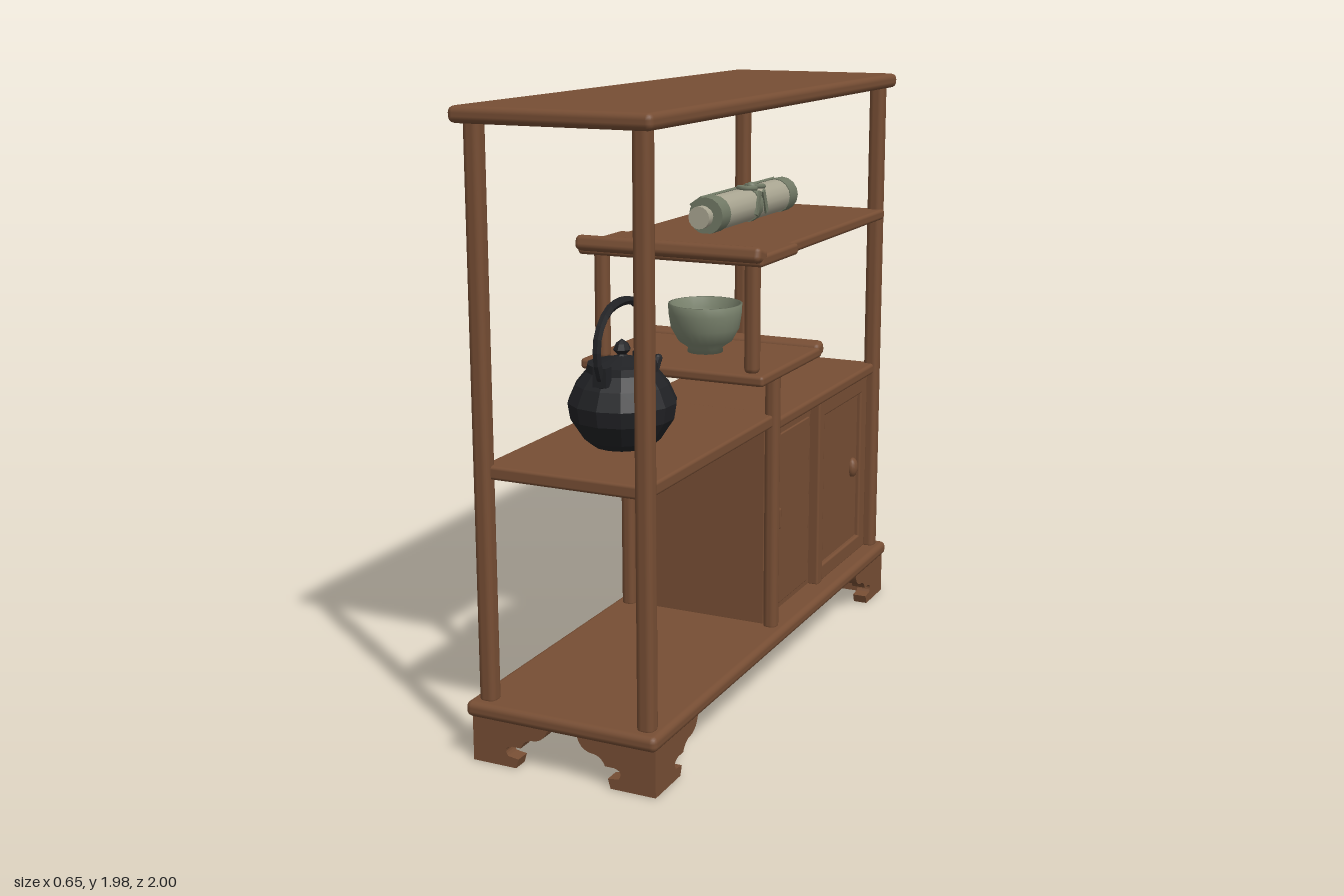
import * as THREE from 'three';
import { RoundedBoxGeometry } from 'three/addons/geometries/RoundedBoxGeometry.js';

const mat = (name, color, extra = {}) => {
  const m = new THREE.MeshStandardMaterial({ color, ...extra });
  m.name = name;
  return m;
};

export function createModel() {
  const wood = mat('brown wood', 0x774e34);
  const iron = mat('black iron', 0x212225, { flatShading: true });
  const celadon = mat('grey green glaze', 0x7d8670);
  const paper = mat('pale paper', 0xaaa692);
  const cloth = mat('green cloth', 0x727a66);
  const root = new THREE.Group();
  root.name = 'displayShelf';

  const add = (name, geo, material, x = 0, y = 0, z = 0, parent = root) => {
    const m = new THREE.Mesh(geo, material);
    m.name = name;
    m.position.set(x, y, z);
    parent.add(m);
    return m;
  };
  // Softly rounded wooden box given by its limits on each axis
  const board = (name, [x0, x1], [y0, y1], [z0, z1], r = 0.015) =>
    add(name, new RoundedBoxGeometry(x1 - x0, y1 - y0, z1 - z0, 2, r), wood,
      (x0 + x1) / 2, (y0 + y1) / 2, (z0 + z1) / 2);
  const post = (name, x, z, y0, y1, w = 0.055) =>
    board(name, [x - w / 2, x + w / 2], [y0, y1], [z - w / 2, z + w / 2], 0.02);

  // Main boards and corner posts
  board('topBoard', [-0.325, 0.32], [1.93, 1.98], [-1, 1], 0.02);
  board('baseBoard', [-0.325, 0.32], [0.145, 0.195], [-1, 1], 0.02);
  for (const x of [-0.268, 0.266]) {
    for (const z of [-0.943, 0.943]) post('cornerPost', x, z, 0.18, 1.95);
    post('middlePost', x, 0.02, 0.18, 1.09, 0.048);
    post('hangingPost', x, 0.193, 1.1, 1.47, 0.048);
  }

  // Staggered shelves with raised lips
  board('kettleShelf', [-0.275, 0.275], [0.888, 0.93], [0, 0.95], 0.01);
  board('upperShelf', [-0.3, 0.3], [1.452, 1.49], [-0.95, 0.25], 0.012);
  board('upperShelfEnd', [-0.328, 0.323], [1.452, 1.49], [-0.05, 0.25], 0.012);
  const upperLip = board('upperShelfLip', [-0.328, 0.323], [1.462, 1.512], [0.2, 0.275], 0.018);
  upperLip.rotation.x = -0.3;
  board('bowlShelf', [-0.328, 0.325], [1.07, 1.106], [-0.27, 0.243], 0.012);
  const bowlLip = board('bowlShelfLip', [-0.328, 0.325], [1.072, 1.122], [-0.292, -0.235], 0.018);
  bowlLip.rotation.x = 0.25;

  // Cabinet carcass
  board('cabinetTop', [-0.28, 0.28], [0.87, 0.91], [-0.95, 0.03], 0.012);
  board('cabinetSide', [-0.25, 0.24], [0.19, 0.88], [-0.015, 0.02], 0.006);
  board('cabinetEnd', [-0.25, 0.25], [0.19, 0.88], [-0.945, -0.915], 0.006);
  board('cabinetBack', [-0.262, -0.235], [0.19, 0.88], [-0.93, 0.01], 0.006);

  // Sliding doors: recessed one and framed one
  board('recessedDoor', [0.2, 0.225], [0.19, 0.88], [-0.48, 0.01], 0.005);
  board('recessedDoorPanel', [0.22, 0.231], [0.215, 0.82], [-0.4, -0.025], 0.004);
  board('framedDoorPanel', [0.215, 0.24], [0.23, 0.83], [-0.88, -0.45], 0.005);
  board('doorStile', [0.2, 0.262], [0.19, 0.88], [-0.47, -0.42], 0.008);
  board('doorStile', [0.2, 0.256], [0.19, 0.88], [-0.925, -0.86], 0.008);
  board('doorRail', [0.2, 0.256], [0.805, 0.88], [-0.9, -0.44], 0.008);
  board('doorRail', [0.2, 0.256], [0.19, 0.25], [-0.9, -0.44], 0.008);
  board('recessedDoorHandle', [0.225, 0.245], [0.492, 0.568], [-0.12, -0.08], 0.008);
  const knob = add('framedDoorHandle', new THREE.SphereGeometry(0.034, 12, 8), wood, 0.243, 0.53, -0.812);
  knob.scale.set(0.6, 1.1, 0.8);

  // Scrolled bracket feet: one profile along each edge of every corner
  const footShape = (s, k) => {
    const p = (u) => -s * u * k;
    const f = new THREE.Shape();
    f.moveTo(0, 0);
    f.lineTo(p(0.165), 0);
    f.lineTo(p(0.175), 0.03);
    f.lineTo(p(0.135), 0.035);
    f.quadraticCurveTo(p(0.115), 0.06, p(0.15), 0.068);
    f.lineTo(p(0.185), 0.068);
    f.quadraticCurveTo(p(0.2), 0.1, p(0.235), 0.1);
    f.quadraticCurveTo(p(0.28), 0.105, p(0.29), 0.15);
    f.lineTo(0, 0.15);
    f.closePath();
    return f;
  };
  const footOptions = { depth: 0.05, bevelEnabled: false, curveSegments: 6 };
  for (const sx of [-1, 1]) for (const sz of [-1, 1]) {
    add('footFront', new THREE.ExtrudeGeometry(footShape(sx, 0.9), footOptions), wood,
      sx * 0.31, 0, sz > 0 ? 0.93 : -0.98);
    const side = new THREE.ExtrudeGeometry(footShape(sz, 1), footOptions).rotateY(-Math.PI / 2);
    add('footSide', side, wood, sx > 0 ? 0.31 : -0.26, 0, sz * 0.98);
  }

  const lathe = (pts, n) => new THREE.LatheGeometry(pts.map(([r, y]) => new THREE.Vector2(r, y)), n);
  const curve = (pts) => new THREE.CatmullRomCurve3(pts.map(([y, z]) => new THREE.Vector3(0, y, z)));

  // Iron kettle with arched handle and spout
  const kettle = new THREE.Group();
  kettle.name = 'kettle';
  kettle.position.set(-0.006, 0.928, 0.56);
  root.add(kettle);
  add('kettleBody', lathe([[0, 0], [0.09, 0], [0.12, 0.025], [0.162, 0.09], [0.17, 0.14],
    [0.145, 0.195], [0.112, 0.235], [0.108, 0.258], [0.085, 0.262], [0, 0.285]], 14), iron, 0, 0, 0, kettle);
  add('lidKnob', lathe([[0, 0.26], [0.022, 0.27], [0.014, 0.285], [0.028, 0.3], [0.02, 0.318], [0, 0.332]], 8),
    iron, 0, 0, 0, kettle);
  add('kettleHandle', new THREE.TubeGeometry(curve([[0.21, 0.125], [0.29, 0.158], [0.37, 0.15], [0.43, 0.09],
    [0.447, 0], [0.43, -0.09], [0.37, -0.15], [0.29, -0.16], [0.21, -0.125]]), 18, 0.014, 6), iron, 0, 0, 0, kettle);
  for (const s of [-1, 1]) {
    add('handleLug', new THREE.BoxGeometry(0.045, 0.06, 0.035), iron, 0, 0.24, s * 0.13, kettle);
  }
  // Spout tapers toward the tip
  const spout = new THREE.TubeGeometry(curve([[0.12, -0.12], [0.145, -0.18], [0.195, -0.212], [0.222, -0.245]]), 6, 0.03, 8);
  const sp = spout.attributes.position;
  const spoutPath = spout.parameters.path;
  for (let i = 0; i < sp.count; i++) {
    const t = Math.floor(i / 9) / 6;
    const c = spoutPath.getPointAt(t);
    const v = new THREE.Vector3().fromBufferAttribute(sp, i).sub(c).multiplyScalar(1.4 - 0.95 * t).add(c);
    sp.setXYZ(i, v.x, v.y, v.z);
  }
  add('kettleSpout', spout, iron, 0, 0, 0, kettle);
  add('spoutTip', new THREE.SphereGeometry(0.015, 8, 6), iron, 0, 0.222, -0.245, kettle);

  // Tea bowl with inner wall
  add('teaBowl', lathe([[0, 0], [0.06, 0], [0.058, 0.018], [0.09, 0.04], [0.115, 0.085], [0.123, 0.135],
    [0.124, 0.166], [0.116, 0.166], [0.112, 0.13], [0.1, 0.08], [0.06, 0.045], [0, 0.035]], 24),
    celadon, -0.003, 1.104, -0.033);

  // Rolled scroll with end bands, core and tied ribbon
  const scroll = new THREE.Group();
  scroll.name = 'scroll';
  scroll.position.set(-0.035, 1.549, -0.437);
  root.add(scroll);
  const roll = (name, r, len, z, m, n = 16) =>
    add(name, new THREE.CylinderGeometry(r, r, len, n).rotateX(Math.PI / 2), m, 0, 0, z, scroll);
  roll('scrollRoll', 0.059, 0.65, 0, paper);
  roll('scrollCore', 0.028, 0.73, 0, paper);
  for (const s of [-1, 1]) {
    roll('scrollBand', 0.062, 0.07, s * 0.297, cloth);
    roll('scrollKnob', 0.038, 0.03, s * 0.372, paper);
    const loop = add('ribbonLoop', new THREE.TorusGeometry(0.03, 0.009, 6, 12), cloth, 0.02, 0.062, s * 0.035, scroll);
    loop.rotation.set(Math.PI / 2 - 0.1, 0, 0);
    const tail = add('ribbonTail', new THREE.BoxGeometry(0.008, 0.085, 0.02), cloth, 0.06, 0.01, s * 0.03, scroll);
    tail.rotation.x = -s * 0.4;
  }
  roll('ribbonBand', 0.063, 0.03, 0, cloth);
  add('ribbonKnot', new THREE.SphereGeometry(0.018, 8, 6), cloth, 0.02, 0.062, 0, scroll);
  const flap = add('scrollFlap', new THREE.BoxGeometry(0.05, 0.008, 0.63), cloth, -0.045, 0.045, 0, scroll);
  flap.rotation.z = 0.6;

  return root;
}
